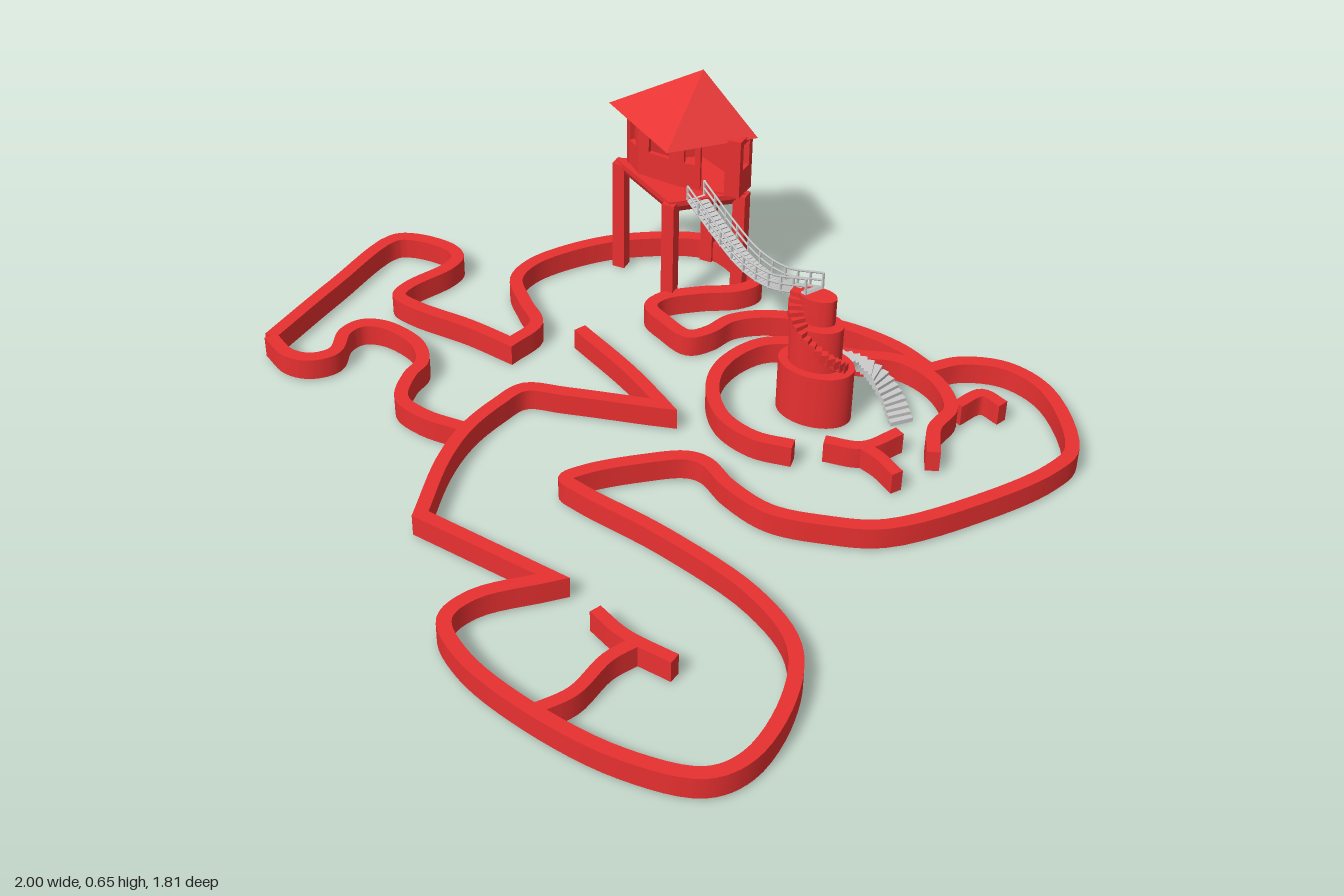
import * as THREE from 'three';
import { toCreasedNormals } from 'three/addons/utils/BufferGeometryUtils.js';
import { ConvexGeometry } from 'three/addons/geometries/ConvexGeometry.js';

const red = new THREE.MeshStandardMaterial({ color: 0xe83030, side: THREE.DoubleSide });
const grey = new THREE.MeshStandardMaterial({ color: 0xcccccc, side: THREE.DoubleSide });
const V = (x, y, z) => new THREE.Vector3(x, y, z);

function add(parent, name, geo, mat, x = 0, y = 0, z = 0, ry = 0) {
  const m = new THREE.Mesh(geo, mat);
  m.name = name;
  m.position.set(x, y, z);
  m.rotation.y = ry;
  parent.add(m);
  return m;
}

// Upright ribbon; sections are smooth curves in hundredths, joined at mitred corners
function ribbon(sections, width = 0.034, y0 = 0.01, y1 = 0.068) {
  const pts = [];
  for (const s of sections) {
    const curve = new THREE.CatmullRomCurve3(s.map(([x, z]) => V(x / 100, 0, z / 100)));
    const sample = s.length === 2 ? curve.getPoints(1) : curve.getPoints((s.length - 1) * 6);
    pts.push(...(pts.length ? sample.slice(1) : sample));
  }
  const pos = [], idx = [], n = pts.length;
  pts.forEach((p, i) => {
    const a = p.clone().sub(pts[Math.max(i - 1, 0)]).normalize();
    const b = pts[Math.min(i + 1, n - 1)].clone().sub(p).normalize();
    const d = i === 0 ? b : i === n - 1 ? a : a.clone().add(b).normalize();
    const k = (width / 2) / Math.max(d.dot(i === 0 ? b : a), 0.45);
    const ox = -d.z * k, oz = d.x * k;
    pos.push(p.x + ox, y0, p.z + oz, p.x + ox, y1, p.z + oz,
      p.x - ox, y1, p.z - oz, p.x - ox, y0, p.z - oz);
    if (i) for (let j = 0; j < 4; j++) {
      const q = i * 4 + j, r = i * 4 + (j + 1) % 4;
      idx.push(q - 4, q, r, q - 4, r, r - 4);
    }
  });
  const e = (n - 1) * 4;
  idx.push(0, 1, 2, 0, 2, 3, e, e + 2, e + 1, e, e + 3, e + 2);
  const g = new THREE.BufferGeometry();
  g.setAttribute('position', new THREE.Float32BufferAttribute(pos, 3));
  g.setIndex(idx);
  return toCreasedNormals(g, 0.6);
}

function lowWalls() {
  const g = new THREE.Group();
  g.name = 'lowWalls';
  // Outer wall, left arm round to the lower bay
  add(g, 'outerWall', ribbon([
    [[-98, 2], [-96, -25], [-93, -50], [-88, -53], [-77, -53], [-73, -50], [-73, -45], [-78, -33],
      [-78, -28], [-72, -26], [-55, -25], [-42, -23]],
    [[-42, -23], [-40, -33], [-47, -40], [-54, -48], [-54, -56], [-48, -67], [-36, -79], [-15, -88],
      [0, -79], [3, -75], [0, -70], [-8, -65], [-16, -58], [-17, -53], [-11, -49], [-3, -46],
      [1, -50], [4, -57], [12, -63], [30, -67], [46, -65], [57, -60]],
    [[57, -60], [63, -66], [74, -69], [86, -64], [98, -45], [96, -36], [86, -20], [68, 0], [55, 5],
      [42, 7], [30, 3], [22, -2], [17, -2], [8, 4], [-2, 13], [-5, 18], [0, 20], [24, 25], [50, 34],
      [64, 45], [69, 60], [68, 78], [62, 86], [45, 89], [22, 86], [2, 79], [-7, 71], [-5, 62], [8, 49]],
    [[8, 49], [-29, 44]],
    [[-29, 44], [-34, 25], [-35, 12], [-33, 0], [-30, -8], [-20, -11], [4, -17]],
    [[4, -17], [-10, -26], [-29, -36]],
  ]), red);
  add(g, 'armWall', ribbon([[[-35, 12], [-47, 12], [-55, 9], [-58, 0], [-58, -6], [-63, -12],
    [-74, -15], [-80, -13], [-82, -8], [-80, 0], [-84, 5], [-90, 6], [-98, 2]]]), red);
  // Walls standing inside the courts
  add(g, 'ringWall', ribbon([[[38, -17], [28, -16], [18, -20], [11, -30], [10, -40], [15, -51],
    [25, -56], [38, -57], [49, -60], [60, -56], [67, -47], [66, -38], [69, -29]]]), red);
  [
    [[68, -49], [72, -56], [78, -54]],
    [[44, -22], [53, -24], [59, -33]],
    [[53, -24], [58, -22], [64, -18]],
    [[23, 86], [28, 78], [30, 66], [34, 58]],
    [[21, 54], [30, 58], [43, 60]],
  ].forEach((p) => add(g, 'innerWall', ribbon([p], 0.03), red));
  return g;
}

function house() {
  const g = new THREE.Group();
  g.name = 'house';
  const corners = [[-0.36, -0.74], [-0.16, -0.87], [-0.015, -0.74], [-0.16, -0.62]];
  for (const [x, z] of corners) add(g, 'leg', new THREE.BoxGeometry(0.034, 0.325, 0.034), red, x, 0.1725, z);

  // Floor and tapered underside
  const layer = (s, y) => corners.map(([x, z]) => V(-0.17 + (x + 0.17) * s, y, -0.745 + (z + 0.745) * s));
  add(g, 'floor', new ConvexGeometry([...layer(0.98, 0.305), ...layer(1.08, 0.325), ...layer(1.08, 0.34)]), red);

  // Cabin walls with windows, and a doorway to the bridge
  const plan = [[-0.345, -0.745], [-0.18, -0.865], [-0.005, -0.775], [-0.01, -0.71], [-0.17, -0.69], [-0.29, -0.70]];
  plan.forEach(([x, z], i) => {
    const [x2, z2] = plan[(i + 1) % plan.length];
    const L = Math.hypot(x2 - x, z2 - z), h = 0.165;
    const s = new THREE.Shape([[0, 0], [L, 0], [L, h], [0, h]].map((p) => new THREE.Vector2(...p)));
    const hole = (a, b, y0, y1) => s.holes.push(new THREE.Path(
      [[a, y0], [a, y1], [b, y1], [b, y0]].map((p) => new THREE.Vector2(...p))));
    if (i === 3) {
      hole(L * 0.25, L * 0.65, 0.008, 0.15);
      hole(L * 0.74, L * 0.92, 0.075, 0.15);
    } else if (L > 0.15) {
      hole(L * 0.14, L * 0.44, 0.075, 0.15);
      hole(L * 0.56, L * 0.86, 0.075, 0.15);
    } else hole(L * 0.25, L * 0.75, 0.075, 0.15);
    const geo = new THREE.ExtrudeGeometry(s, { depth: 0.012, bevelEnabled: false });
    add(g, 'cabinWall', geo, red, x, 0.338, z, -Math.atan2(z2 - z, x2 - x));
  });

  // Four-sided roof
  add(g, 'roof', new ConvexGeometry([V(-0.14, 0.655, -0.76), V(-0.40, 0.497, -0.75),
    V(-0.15, 0.497, -0.905), V(0.015, 0.497, -0.76), V(-0.16, 0.497, -0.592)]), red);
  return g;
}

function tower() {
  const g = new THREE.Group();
  g.name = 'tower';
  // Three stacked oval drums
  for (const [name, x, z, rx, rz, y0, y1] of [
    ['towerBase', 0.348, -0.38, 0.097, 0.067, 0.01, 0.16],
    ['towerMiddle', 0.343, -0.38, 0.068, 0.046, 0.16, 0.28],
    ['towerTop', 0.338, -0.388, 0.048, 0.03, 0.28, 0.352],
  ]) {
    const geo = new THREE.CylinderGeometry(1, 1, y1 - y0, 40).scale(rx, 1, rz);
    add(g, name, toCreasedNormals(geo, 0.6), red, x, (y0 + y1) / 2, z);
  }
  // Steps winding round the front of the drums
  for (let i = 0; i < 15; i++) {
    const t = i / 14, a = 0.1 + t * 3.1, y = 0.17 + t * 0.17, r = 1 - 0.2 * t;
    add(g, 'towerStep', new THREE.BoxGeometry(0.034, 0.022, 0.022), red,
      0.343 + Math.cos(a) * 0.068 * r, y, -0.382 + Math.sin(a) * 0.056 * r, -a);
  }
  return g;
}

// Box laid along a curve at t
function along(parent, name, curve, t, size, mat, tilt = true) {
  const p = curve.getPointAt(t), d = curve.getTangentAt(t);
  if (!tilt) d.y = 0;
  const m = add(parent, name, new THREE.BoxGeometry(...size), mat, p.x, p.y, p.z);
  m.lookAt(p.clone().add(d));
}

function bridge() {
  const g = new THREE.Group();
  g.name = 'hangingBridge';
  const pts = [V(-0.11, 0.338, -0.665), V(0, 0.297, -0.595), V(0.1, 0.275, -0.53), V(0.2, 0.29, -0.468), V(0.325, 0.357, -0.393)];
  const curve = new THREE.CatmullRomCurve3(pts);
  for (let i = 0; i < 36; i++) along(g, 'plank', curve, (i + 0.5) / 36, [0.05, 0.008, 0.0125], grey);
  // Ropes and posts on both sides
  for (const s of [-1, 1]) {
    const side = (h) => new THREE.CatmullRomCurve3(pts.map((p) => V(p.x - 0.0135 * s, p.y + h, p.z + 0.0211 * s)));
    for (const h of [0, 0.021, 0.042]) add(g, 'rope', new THREE.TubeGeometry(side(h), 40, 0.003, 5), grey);
    for (let i = 0; i <= 10; i++) along(g, 'post', side(0.02), i / 10, [0.005, 0.046, 0.005], grey, false);
  }
  return g;
}

function stairs() {
  const g = new THREE.Group();
  g.name = 'curvedStairs';
  const curve = new THREE.CatmullRomCurve3([V(0.385, 0.152, -0.43), V(0.41, 0.12, -0.475),
    V(0.46, 0.085, -0.495), V(0.515, 0.045, -0.475), V(0.56, 0.005, -0.435)]);
  for (let i = 0; i < 16; i++) along(g, 'stairTread', curve, (i + 0.5) / 16, [0.06, 0.012, 0.019], grey, false);
  return g;
}

export function createModel() {
  const model = new THREE.Group();
  model.name = 'playground';
  model.add(lowWalls(), house(), tower(), bridge(), stairs());
  return model;
}
